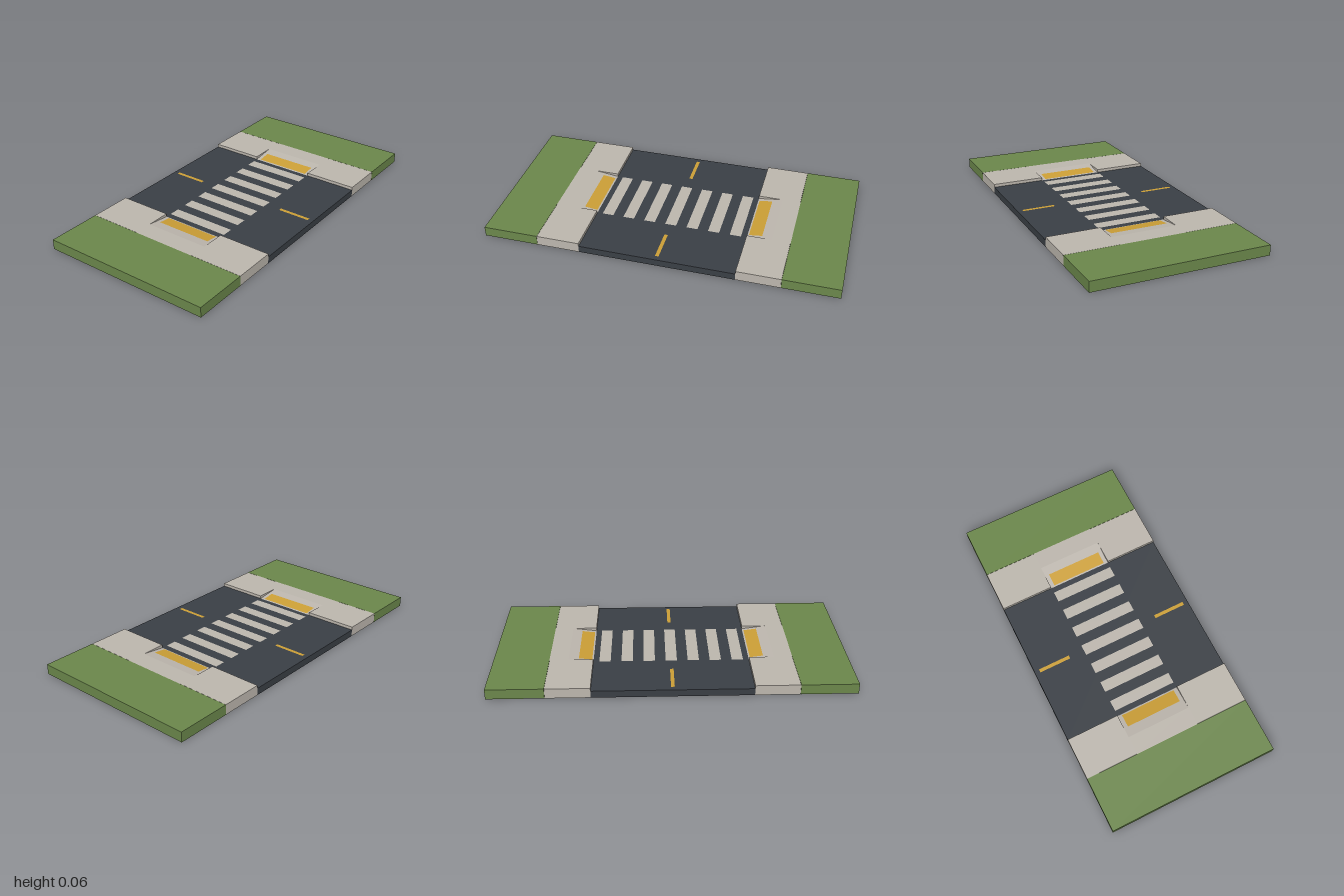
import * as THREE from 'three';

const mat = (name, color) => {
  const m = new THREE.MeshStandardMaterial({ color, side: THREE.DoubleSide });
  m.name = name;
  return m;
};

// Shell swept along z from an x-y outline, open underneath, with optional end caps
function openShell(profile, z0, z1, caps = true) {
  const pos = [];
  const quad = (a, b, c, d) => pos.push(...a, ...b, ...c, ...a, ...c, ...d);
  for (let i = 0; i < profile.length - 1; i++) {
    const [x0, y0] = profile[i], [x1, y1] = profile[i + 1];
    quad([x0, y0, z0], [x0, y0, z1], [x1, y1, z1], [x1, y1, z0]);
  }
  if (caps) {
    const a = profile[0][0], b = profile[profile.length - 1][0];
    const h = Math.max(...profile.map((p) => p[1]));
    quad([a, 0, z1], [b, 0, z1], [b, h, z1], [a, h, z1]);
    quad([b, 0, z0], [a, 0, z0], [a, h, z0], [b, h, z0]);
  }
  const g = new THREE.BufferGeometry();
  g.setAttribute('position', new THREE.Float32BufferAttribute(pos, 3));
  g.computeVertexNormals();
  return g;
}

const box = (x0, x1, h) => [[x0, 0], [x0, h], [x1, h], [x1, 0]];

export function createModel() {
  const grass = mat('grass green', 0x6b874b);
  const concrete = mat('concrete grey', 0xbdb7ae);
  const asphalt = mat('asphalt', 0x3a3f45);
  const yellow = mat('marking yellow', 0xcc9f36);

  const ROAD = 0.04, WALK = 0.058, CURB = 0.44, EDGE = 0.685, RAMP = 0.58, HALF = 0.19;
  const model = new THREE.Group();
  const add = (name, geometry, material, parent = model) => {
    const m = new THREE.Mesh(geometry, material);
    m.name = name;
    parent.add(m);
    return m;
  };
  const paint = (name, w, d, x, z, material) =>
    add(name, new THREE.PlaneGeometry(w, d).rotateX(-Math.PI / 2), material)
      .position.set(x, ROAD + 0.0015, z);

  // Road bed: the curbs close its long sides
  add('road', openShell([[-CURB, ROAD], [CURB, ROAD]], -0.5, 0.5), asphalt);

  // Crossing stripes and centre dashes
  for (let i = -3; i <= 3; i++) paint('crossingStripe', 0.064, 0.375, i * 0.125, 0, concrete);
  for (const s of [-1, 1]) paint('centreDash', 0.02, 0.19, 0, s * 0.375, yellow);

  for (const s of [1, -1]) {
    const side = new THREE.Group();
    side.name = s > 0 ? 'leftRoadside' : 'rightRoadside';
    model.add(side);
    const outline = (pts) => (s > 0 ? pts : pts.map(([x, y]) => [-x, y]).reverse());

    // Grass verge and the two raised lengths of pavement
    add('grassVerge', openShell(outline(box(EDGE + 0.001, 1, WALK)), -0.5, 0.5), grass, side);
    add('frontPavement', openShell(outline(box(CURB, EDGE, WALK)), HALF, 0.5), concrete, side);
    add('backPavement', openShell(outline(box(CURB, EDGE, WALK)), -0.5, -HALF), concrete, side);

    // Dropped curb sloping down to the road
    const ramp = [[CURB, 0], [CURB, ROAD], [RAMP, WALK], [EDGE + 0.001, WALK]];
    add('curbRamp', openShell(outline(ramp), -HALF, HALF, false), concrete, side);

    // Warning pad lying on the slope
    const slope = (x) => ROAD + ((x - CURB) / (RAMP - CURB)) * (WALK - ROAD) + 0.0015;
    const pad = [0.448, 0.523].map((x) => [x, slope(x)]);
    add('warningPad', openShell(outline(pad), -0.165, 0.165, false), yellow, side);
  }
  return model;
}
